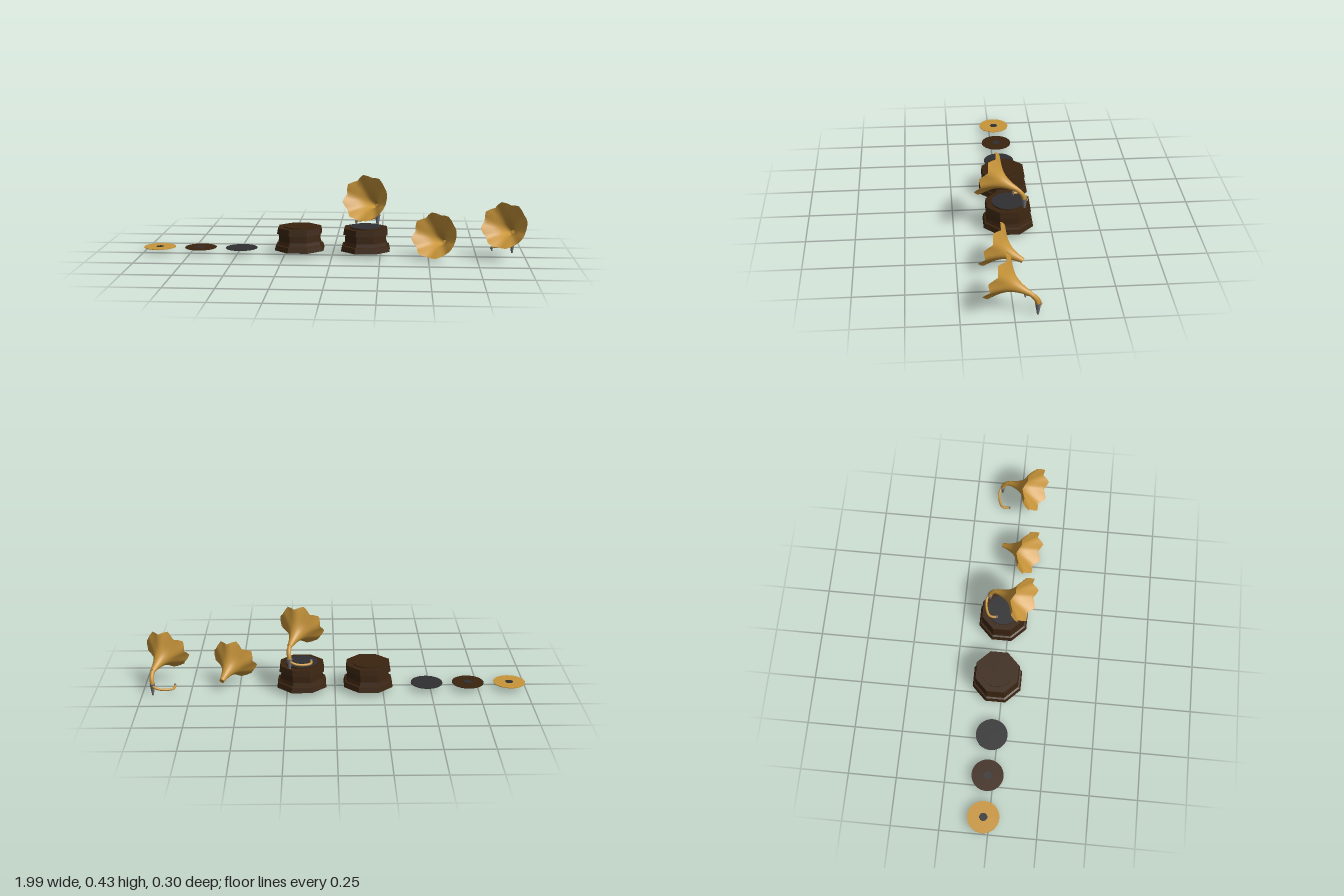
import * as THREE from 'three';

const mat = (name, color, side = THREE.FrontSide) =>
  Object.assign(new THREE.MeshStandardMaterial({ color, side }), { name });
const V = (x, y, z) => new THREE.Vector3(x, y, z);

export function createModel() {
  const brass = mat('brass', 0xc8953a, THREE.DoubleSide);
  const wood = mat('darkWood', 0x3a2410);
  const black = mat('recordBlack', 0x303032);
  const steel = mat('steel', 0x74747a);

  const root = new THREE.Group();
  root.name = 'gramophoneSet';

  function add(parent, name, geometry, material, x = 0, y = 0, z = 0) {
    const mesh = new THREE.Mesh(geometry, material);
    mesh.name = name;
    mesh.position.set(x, y, z);
    parent.add(mesh);
    return mesh;
  }
  function group(name, x, y, z) {
    const g = new THREE.Group();
    g.name = name;
    g.position.set(x, y, z);
    root.add(g);
    return g;
  }

  // Loose records, two of them with a dark centre label
  const disc = (r, h) => new THREE.CylinderGeometry(r, r, h, 32);
  [[-0.916, brass, true], [-0.698, wood, true], [-0.481, black, false]].forEach(([x, m, label]) => {
    const g = group('looseRecord', x, 0.028, -0.03);
    add(g, 'record', disc(0.083, 0.003), m);
    if (label) add(g, 'recordLabel', disc(0.021, 0.0042), black);
  });

  // Octagonal cabinet: plinth, tapering body, top slab and round turntable
  function cabinet(x, withRecord) {
    const g = group('cabinet', x, 0, -0.03);
    const profile = [[0, 0.026], [0.127, 0.026], [0.121, 0.053], [0.112, 0.056], [0.107, 0.075],
      [0.104, 0.111], [0.115, 0.1125], [0.11, 0.144], [0, 0.144]]
      .map(([apothem, y]) => new THREE.Vector2(apothem / Math.cos(Math.PI / 8), y));
    const body = new THREE.LatheGeometry(profile, 8, Math.PI / 8).toNonIndexed();
    body.computeVertexNormals();
    add(g, 'cabinetBody', body, wood);
    add(g, 'turntable', disc(0.083, 0.006), wood, 0, 0.146, 0);
    if (withRecord) add(g, 'playingRecord', disc(0.083, 0.002), black, 0, 0.15, 0);
  }
  cabinet(-0.173, false);
  cabinet(0.173, true);

  // Horn frame: the neck sits at the origin and the axis leans left, up and forward
  const axis = V(-0.35, 0.37, 0.86).normalize();
  const across = V(0, 1, 0).cross(axis).normalize();
  const upward = axis.clone().cross(across);

  // Flared bell whose rim waves back and forth in eight petals
  function bellGeometry() {
    const profile = new THREE.CatmullRomCurve3(
      [[0, 0.013], [0.03, 0.0175], [0.06, 0.026], [0.085, 0.037], [0.105, 0.05],
        [0.125, 0.068], [0.147, 0.092], [0.171, 0.118]].map(([t, r]) => V(t, r, 0)));
    const rings = 14, sides = 32, pos = [], index = [];
    for (let i = 0; i <= rings; i++) {
      const p = profile.getPoint(i / rings);
      const w = Math.pow(i / rings, 4);
      for (let j = 0; j < sides; j++) {
        const a = (j / sides) * Math.PI * 2;
        // Triangular wave: 1 at a petal tip, -1 in a valley
        const wave = 1 - Math.abs(j % 4 - 2 * (j % 4 > 2 ? 2 : 0));
        const angle = a + 0.23;
        const r = p.y + 0.005 * w * wave;
        const q = axis.clone().multiplyScalar(p.x + 0.012 * w * wave)
          .addScaledVector(across, r * Math.cos(angle))
          .addScaledVector(upward, r * Math.sin(angle));
        pos.push(q.x, q.y, q.z);
        if (i < rings) {
          const b = i * sides + j, c = i * sides + (j + 1) % sides;
          index.push(b, c, b + sides, c, c + sides, b + sides);
        }
      }
    }
    const geo = new THREE.BufferGeometry();
    geo.setAttribute('position', new THREE.Float32BufferAttribute(pos, 3));
    geo.setIndex(index);
    geo.computeVertexNormals();
    return geo;
  }
  const bell = bellGeometry();

  function tube(points, r) {
    return new THREE.TubeGeometry(new THREE.CatmullRomCurve3(points), 28, r, 14);
  }

  function horn(x, y, withArm) {
    const g = group('horn', x, y, -0.072);
    add(g, 'hornBell', bell, brass);
    const cap = add(g, 'neckEnd', new THREE.CircleGeometry(0.013, 32), brass);
    cap.quaternion.setFromUnitVectors(V(0, 0, 1), axis.clone().negate());
    if (!withArm) return;

    // Bent pipe from the bell neck down into the pivot
    add(g, 'elbowPipe', tube([V(-0.002, 0.002, 0.004), V(0.003, -0.013, -0.015),
      V(0.003, -0.035, -0.03), V(0, -0.062, -0.036)], 0.0115), brass);
    // Tapered steel pivot
    add(g, 'pivotCone', new THREE.CylinderGeometry(0.0145, 0.0045, 0.063, 20), steel, 0, -0.0855, -0.037);
    // Hooked tone arm with its needle head
    add(g, 'toneArm', tube([V(0, -0.066, -0.038), V(-0.012, -0.07, -0.05), V(-0.035, -0.079, -0.052),
      V(-0.075, -0.084, -0.046), V(-0.105, -0.085, -0.03), V(-0.112, -0.085, -0.008),
      V(-0.11, -0.085, 0.01)], 0.0065), brass);
    add(g, 'needleHead', new THREE.CylinderGeometry(0.0045, 0.003, 0.022, 12), steel, -0.11, -0.086, 0.011);
    add(g, 'needleCollar', new THREE.CylinderGeometry(0.0065, 0.0065, 0.008, 12), steel, -0.11, -0.083, 0.011);
  }
  horn(0.234, 0.251, true);
  horn(0.589, 0.06, false);
  horn(0.944, 0.117, true);

  return root;
}
